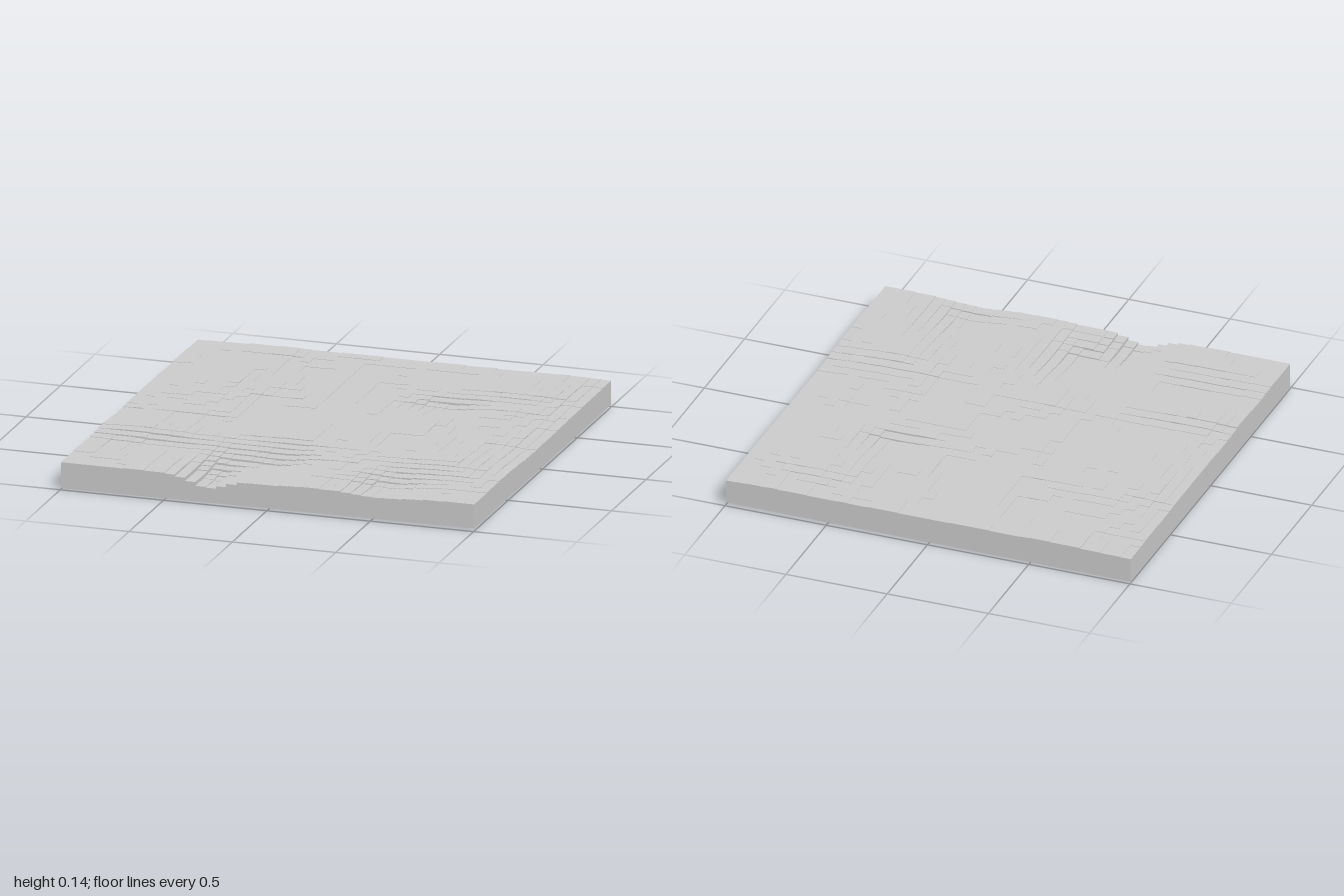
import * as THREE from 'three';

const NX = 40, NZ = 33, DEPTH = 0.99, STEP = 0.002;

// hills and hollows: [x, z, height, radius x, radius z]
const FEATURES = [
  [-0.29, 0.9, -0.057, 0.12, 0.26],
  [-0.08, 0.66, -0.028, 0.14, 0.17],
  [-0.02, 0.95, -0.012, 0.14, 0.25],
  [0.52, 0.84, -0.022, 0.15, 0.17],
  [0.42, -0.38, -0.018, 0.16, 0.1],
  [0.7, 0.45, 0.013, 0.22, 0.18],
  [-0.72, 0.37, 0.012, 0.33, 0.11],
  [-0.72, 0.6, -0.01, 0.3, 0.12],
  [0.7, -0.68, 0.006, 0.25, 0.12],
  [-0.6, -0.45, 0.005, 0.2, 0.15],
  [-0.1, 0.3, 0.007, 0.22, 0.12],
  [1, -0.1, -0.007, 0.1, 0.9],
  [-1, 0, -0.004, 0.12, 0.9],
];

const cellX = i => -1 + 2 * i / NX;
const cellZ = j => DEPTH * (-1 + 2 * j / NZ);

// small rectangular plateaus scattered over the ground
const hash = (a, b) => {
  const s = Math.sin(a * 127.1 + b * 311.7) * 43758.5453;
  return s - Math.floor(s);
};
const plateau = (i, j, w, d) => hash(Math.floor(i / w) + w, Math.floor(j / d) + d) - 0.5;

// terraced height of a cell's top
function topHeight(i, j) {
  const x = cellX(i + 0.5), z = cellZ(j + 0.5);
  let h = 0.13 + 0.002 * Math.sin(5 * x + 2 * z) + 0.0015 * Math.sin(6 * z - 3 * x + 1)
    + 0.003 * plateau(i, j, 5, 3) + 0.003 * plateau(i + 1, j + 2, 3, 4);
  for (const [cx, cz, a, rx, rz] of FEATURES)
    h += a * Math.exp(-(((x - cx) / rx) ** 2 + ((z - cz) / rz) ** 2));
  return Math.round(h / STEP) * STEP;
}

// slightly tilted underside with a small bulge below the hollow
function underside(x, z) {
  const bulge = 0.009 * Math.exp(-(((x + 0.22) / 0.08) ** 2 + ((z - 0.6) / 0.12) ** 2));
  return Math.max(0, 0.009 + 0.004 * x - bulge);
}

export function createModel() {
  const positions = [];
  const quad = (a, b, c, d) => positions.push(...a, ...b, ...c, ...a, ...c, ...d);
  const under = (x, z) => [x, underside(x, z), z];

  // vertical face over the ground edge p-q, joining two cells (null = outside);
  // it faces the lower cell and reaches the underside at the border
  const wall = (p, q, minus, plus) => {
    if (minus === plus) return;
    const outer = minus === null || plus === null;
    const hi = Math.max(minus ?? 0, plus ?? 0);
    const lo = outer ? null : Math.min(minus, plus);
    const low = ([x, z]) => [x, lo ?? underside(x, z), z];
    const high = ([x, z]) => [x, hi, z];
    const corners = [low(p), low(q), high(q), high(p)];
    quad(...((minus ?? 0) > (plus ?? 0) ? corners : corners.reverse()));
  };
  const height = (i, j) => i < 0 || j < 0 || i >= NX || j >= NZ ? null : topHeight(i, j);

  for (let i = 0; i <= NX; i++) {
    for (let j = 0; j <= NZ; j++) {
      const x0 = cellX(i), x1 = cellX(i + 1), z0 = cellZ(j), z1 = cellZ(j + 1);
      const y = height(i, j);
      if (y !== null) {
        quad([x0, y, z1], [x1, y, z1], [x1, y, z0], [x0, y, z0]);
        quad(under(x0, z0), under(x1, z0), under(x1, z1), under(x0, z1));
      }
      if (j < NZ) wall([x0, z1], [x0, z0], height(i - 1, j), y);
      if (i < NX) wall([x0, z0], [x1, z0], height(i, j - 1), y);
    }
  }

  const geometry = new THREE.BufferGeometry();
  geometry.setAttribute('position', new THREE.Float32BufferAttribute(positions, 3));
  geometry.computeVertexNormals();

  const terrain = new THREE.Mesh(
    geometry,
    new THREE.MeshStandardMaterial({ color: 0xcccccc, flatShading: true })
  );
  terrain.name = 'terracedTerrain';
  const group = new THREE.Group();
  group.name = 'terrainTile';
  group.add(terrain);
  return group;
}
